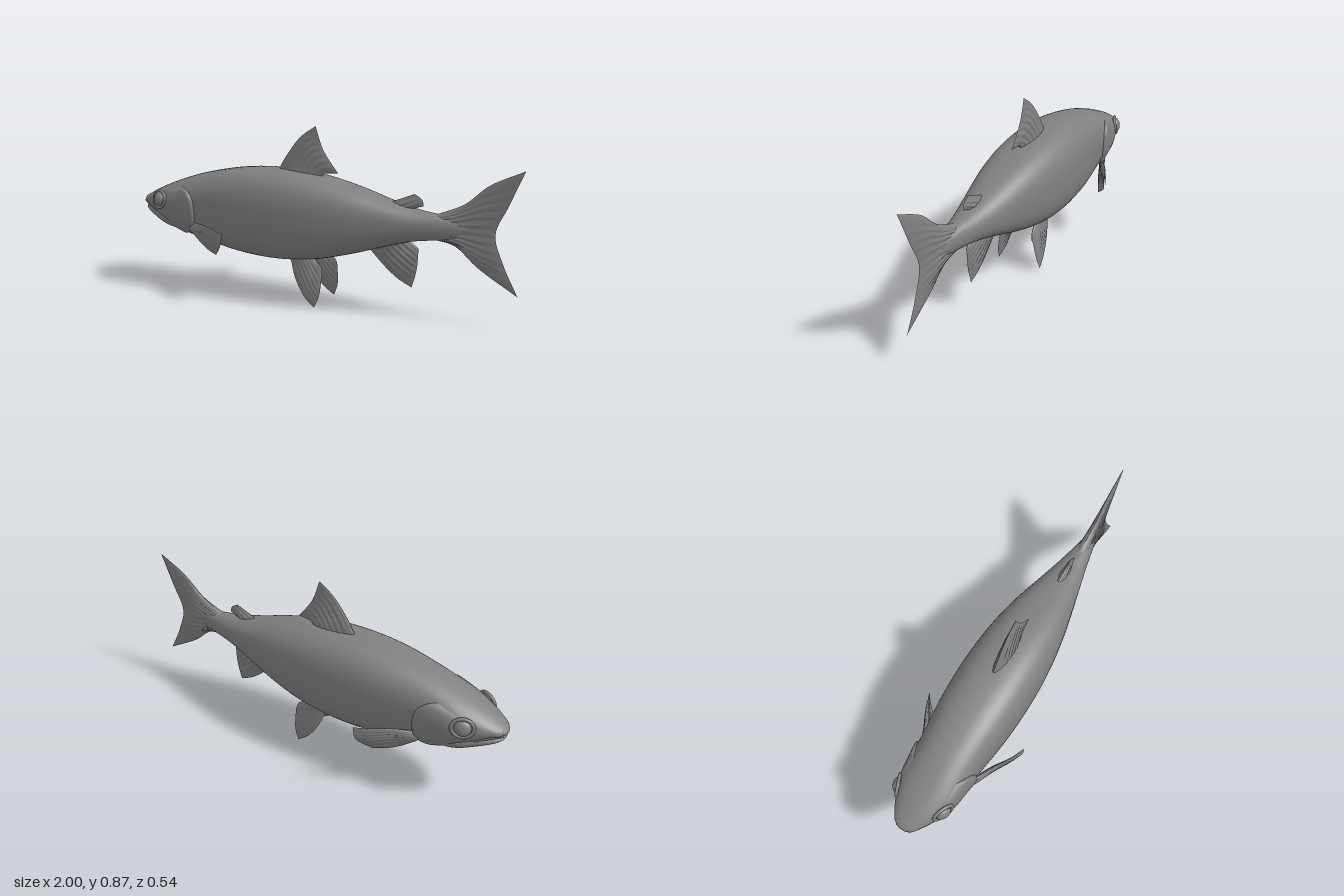
import * as THREE from 'three';

const skin = new THREE.MeshStandardMaterial({ color: 0x7f7f7f });
skin.name = 'grey skin';

// Body stations: x, top y, bottom y, half width
const BODY = [
  [-1, 0.447, 0.428, 0.02], [-0.985, 0.461, 0.421, 0.046], [-0.95, 0.48, 0.409, 0.073],
  [-0.9, 0.506, 0.378, 0.102], [-0.8, 0.548, 0.318, 0.143], [-0.7, 0.583, 0.283, 0.15],
  [-0.6, 0.61, 0.26, 0.156], [-0.4, 0.646, 0.222, 0.178], [-0.2, 0.655, 0.208, 0.186],
  [0, 0.637, 0.225, 0.178], [0.2, 0.594, 0.273, 0.149], [0.4, 0.537, 0.336, 0.103],
  [0.5, 0.513, 0.362, 0.078], [0.6, 0.499, 0.376, 0.054], [0.7, 0.485, 0.388, 0.032],
  [0.78, 0.455, 0.41, 0.012],
];
// Lower jaw stations
const JAW = [
  [-0.992, 0.412, 0.4, 0.02], [-0.975, 0.417, 0.387, 0.045], [-0.94, 0.417, 0.369, 0.07],
  [-0.9, 0.415, 0.352, 0.092], [-0.82, 0.41, 0.321, 0.125], [-0.72, 0.4, 0.295, 0.125],
];

// Smooth lookup of a station table at any x
function stations(table) {
  const spline = new THREE.CubicInterpolant(
    table.map(r => r[0]), table.flatMap(r => r.slice(1)), 3, new Float32Array(3));
  return x => {
    const [top, bottom, w] = spline.evaluate(x);
    return { c: (top + bottom) / 2, h: (top - bottom) / 2, w };
  };
}
const bodyAt = stations(BODY);
const jawAt = stations(JAW);

// Squarish cross-section, angle measured from +z upwards
const power = x => 2 / (2.2 + 0.45 * THREE.MathUtils.smoothstep(x, -1, -0.5) * (1 - THREE.MathUtils.smoothstep(x, 0.1, 0.6)));
const pw = (v, e) => Math.sign(v) * Math.pow(Math.abs(v), e);
function sectionPoint(at, x, a, scale = 1) {
  const s = at(x), e = power(x);
  return new THREE.Vector3(x, s.c + s.h * scale * pw(Math.sin(a), e), s.w * scale * pw(Math.cos(a), e));
}
// Half width of the body at a given height
function widthAt(x, y) {
  const s = bodyAt(x), n = 2 / power(x);
  return s.w * Math.pow(Math.max(0, 1 - Math.pow(Math.abs((y - s.c) / s.h), n)), 1 / n);
}

// Skin closed loops of points, turned so that faces point outwards
function loft(name, loops) {
  const n = loops[0].length, pts = loops.flat(), index = [];
  for (let i = 0; i < loops.length - 1; i++) {
    for (let j = 0; j < n; j++) {
      const a = i * n + j, b = i * n + (j + 1) % n;
      index.push(a, b, a + n, b, b + n, a + n);
    }
  }
  const mid = pts.reduce((s, p) => s.add(p), new THREE.Vector3()).divideScalar(pts.length);
  const q = pts.map(p => p.clone().sub(mid));
  let volume = 0;
  for (let i = 0; i < index.length; i += 3) {
    volume += q[index[i]].dot(q[index[i + 1]].clone().cross(q[index[i + 2]]));
  }
  if (volume < 0) index.reverse();
  const g = new THREE.BufferGeometry().setFromPoints(pts);
  g.setIndex(index);
  g.computeVertexNormals();
  return named(name, g);
}
function named(name, geometry) {
  const m = new THREE.Mesh(geometry, skin);
  m.name = name;
  return m;
}

function sectionLoft(name, table, at, rows) {
  const x0 = table[0][0], x1 = table[table.length - 1][0], loops = [];
  const ring = (x, k) => Array.from({ length: 48 }, (_, j) => sectionPoint(at, x, j / 48 * Math.PI * 2, k));
  loops.push(ring(x0, 0));
  for (let i = 0; i <= rows; i++) loops.push(ring(x0 + (x1 - x0) * Math.pow(i / rows, 1.5), 1));
  loops.push(ring(x1, 0));
  return loft(name, loops);
}

// Fin spanned across a few rays (root to edge), lens-shaped and lightly ribbed
function fin(name, rays, thick, { side = 1, normal = [0, 0, 1], ribs = 7 } = {}) {
  const curves = rays.map(r => new THREE.CatmullRomCurve3(
    r.map(p => new THREE.Vector3(p[0], p[1], (p[2] ?? 0) * side))));
  const dir = new THREE.Vector3(normal[0], normal[1], normal[2] * side).normalize();
  const U = 20, V = 42, loops = [];
  for (let i = 0; i <= U; i++) {
    const u = i / U, across = new THREE.CatmullRomCurve3(curves.map(c => c.getPoint(u)));
    const front = [], back = [];
    for (let j = 0; j <= V; j++) {
      const v = j / V, p = across.getPoint(v);
      const rib = 1 + 0.16 * Math.min(1, u * 3) * Math.cos(v * ribs * Math.PI * 2);
      const t = thick * Math.pow(1 - u, 0.75) * Math.pow(Math.max(0, Math.sin(Math.PI * v)), 0.6) * rib
        + (j % V ? 0.002 : 0);
      front.push(p.clone().addScaledVector(dir, t));
      back.unshift(p.clone().addScaledVector(dir, -t));
    }
    loops.push([...front, ...back]);
  }
  return loft(name, loops);
}

// Raised gill cover following the cheek, with a stepped rounded rear edge
function gillCover(side) {
  const loops = [], N = 24;
  for (let i = 0; i <= 28; i++) {
    const t = i / 28, a = -1.15 + 1.95 * t;
    const rear = -0.61 - 0.1 * Math.pow((a + 0.12) / 0.9, 2);
    const fade = Math.min(1, Math.sin(Math.PI * t) * 2.5);
    const at = (s, off) => {
      const p = sectionPoint(bodyAt, -0.86 + (rear + 0.86) * s, a, 1 + off / 0.15);
      p.z *= side;
      return p;
    };
    const outer = [], inner = [];
    for (let j = 0; j <= N; j++) {
      const s = j / N, edge = Math.sqrt(Math.max(0, 1 - Math.pow(s, 24)));
      outer.push(at(s, -0.003 + 0.016 * fade * s * edge));
      inner.unshift(at(s, -0.012));
    }
    loops.push([...outer, ...inner]);
  }
  return loft('gillCover', loops);
}

export function createModel() {
  const fish = new THREE.Group();
  fish.name = 'fish';
  fish.add(sectionLoft('body', BODY, bodyAt, 90), sectionLoft('lowerJaw', JAW, jawAt, 24));

  // Fins on the centre line
  fish.add(fin('dorsalFin', [
    [[-0.22, 0.635], [-0.16, 0.73], [-0.09, 0.815], [-0.01, 0.87]],
    [[-0.1, 0.62], [-0.07, 0.68], [-0.02, 0.74], [0.03, 0.76]],
    [[0.02, 0.615], [0.035, 0.642], [0.075, 0.648], [0.108, 0.65]],
  ], 0.03));
  fish.add(fin('adiposeFin', [
    [[0.36, 0.53], [0.43, 0.557], [0.495, 0.583]],
    [[0.42, 0.51], [0.48, 0.54], [0.53, 0.56]],
    [[0.47, 0.5], [0.5, 0.517], [0.54, 0.53]],
  ], 0.02, { ribs: 3 }));
  fish.add(fin('analFin', [
    [[0.27, 0.305], [0.35, 0.225], [0.42, 0.17], [0.49, 0.135]],
    [[0.37, 0.345], [0.43, 0.29], [0.48, 0.25], [0.513, 0.225]],
    [[0.46, 0.375], [0.49, 0.35], [0.51, 0.335], [0.52, 0.325]],
  ], 0.026));
  fish.add(fin('tailFin', [
    [[0.6, 0.497], [0.73, 0.555], [0.84, 0.648], [0.997, 0.725]],
    [[0.58, 0.47], [0.7, 0.5], [0.82, 0.545], [0.93, 0.565]],
    [[0.56, 0.437], [0.68, 0.437], [0.8, 0.433], [0.876, 0.43]],
    [[0.58, 0.4], [0.7, 0.378], [0.82, 0.33], [0.915, 0.3]],
    [[0.6, 0.378], [0.69, 0.358], [0.8, 0.268], [0.987, 0.155]],
  ], 0.034, { ribs: 12 }));

  for (const side of [1, -1]) {
    // Paired fins
    fish.add(fin('pectoralFin', [
      [[-0.63, 0.365, 0.14], [-0.53, 0.373, 0.195], [-0.45, 0.367, 0.24], [-0.378, 0.358, 0.268]],
      [[-0.64, 0.34, 0.14], [-0.53, 0.33, 0.19], [-0.45, 0.31, 0.235], [-0.392, 0.3, 0.265]],
      [[-0.63, 0.315, 0.14], [-0.57, 0.268, 0.155], [-0.51, 0.243, 0.18], [-0.455, 0.233, 0.205]],
    ], 0.013, { side, normal: [-0.47, -0.2, 0.86] }));
    fish.add(fin('pelvicFin', [
      [[-0.11, 0.235, 0.078], [-0.075, 0.135, 0.096], [-0.02, 0.05, 0.108], [0.037, 0.004, 0.117]],
      [[-0.05, 0.245, 0.075], [0, 0.16, 0.09], [0.035, 0.1, 0.103], [0.06, 0.065, 0.11]],
      [[0.005, 0.25, 0.075], [0.035, 0.222, 0.08], [0.057, 0.205, 0.084], [0.068, 0.17, 0.09]],
    ], 0.017, { side, normal: [0, 0.17, 1] }));

    // Head details
    fish.add(gillCover(side));
    const eye = new THREE.Group();
    eye.name = 'eye';
    const ball = named('eyeball', new THREE.SphereGeometry(0.038, 28, 18));
    ball.scale.z = 0.65;
    const lid = named('eyelid', new THREE.TorusGeometry(0.044, 0.008, 10, 36));
    lid.scale.x = 1.12;
    eye.add(ball, lid);
    eye.position.set(-0.842, 0.466, side * (widthAt(-0.842, 0.466) - 0.002));
    eye.rotation.set(-0.15 * side, -0.4 * side, 0);
    fish.add(eye);
    const lip = [[-0.992, 0.432], [-0.96, 0.424], [-0.925, 0.413], [-0.89, 0.398], [-0.86, 0.378]]
      .map(([x, y]) => new THREE.Vector3(x, y, side * (widthAt(x, y) - 0.004)));
    fish.add(named('upperLip', new THREE.TubeGeometry(new THREE.CatmullRomCurve3(lip), 24, 0.009, 10)));
  }
  return fish;
}
